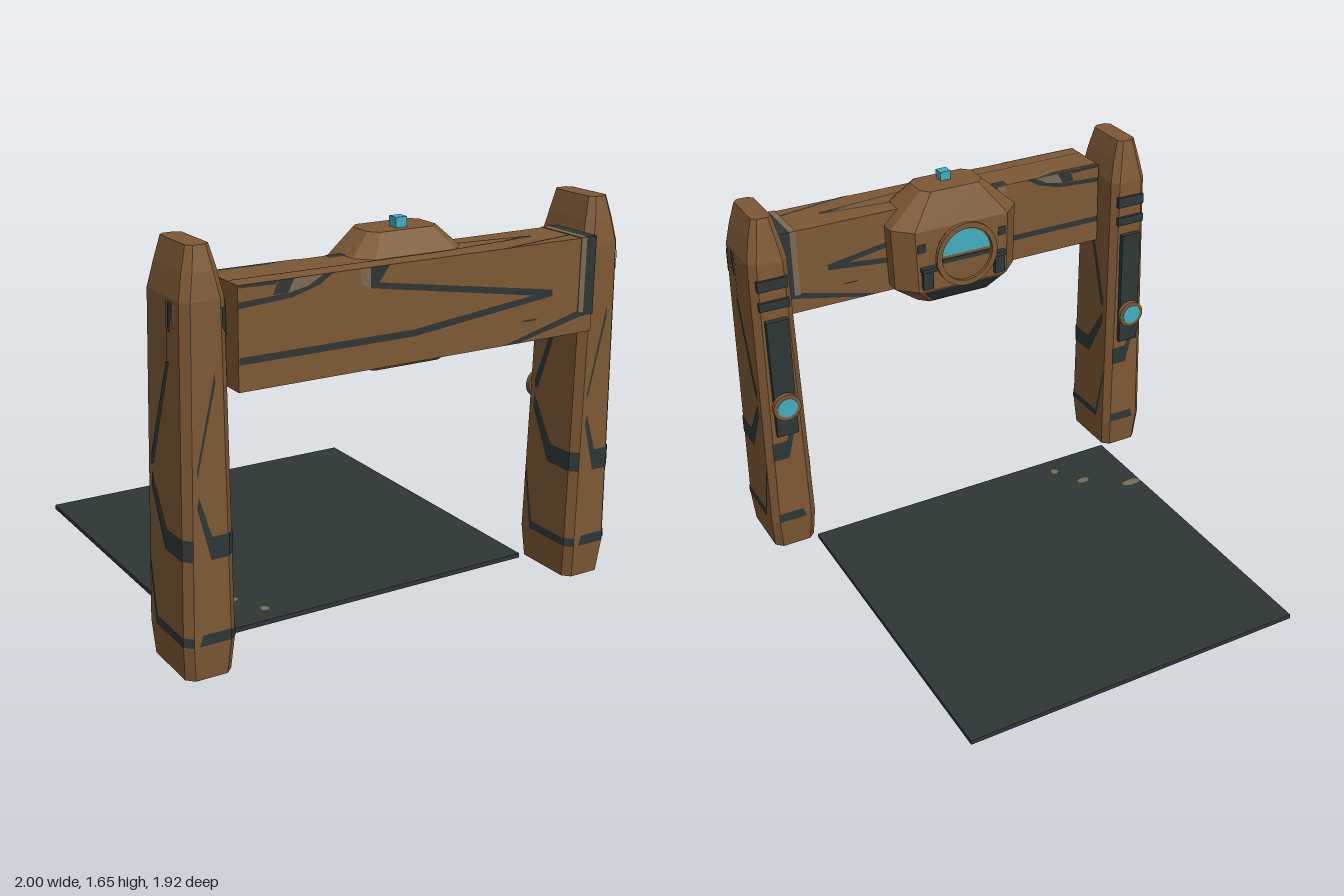
import * as THREE from 'three';

const material = (name, color, side = THREE.FrontSide) => {
  const m = new THREE.MeshStandardMaterial({ color, side });
  m.name = name;
  return m;
};

export function createModel() {
  const brown = material('brown panel', 0x7d5834);
  const dark = material('dark slate', 0x2e3736, THREE.DoubleSide);
  const tan = material('worn tan', 0x7a6a52, THREE.DoubleSide);
  const cyan = material('cyan light', 0x41aebf, THREE.DoubleSide);
  const model = new THREE.Group();

  const add = (parent, name, geometry, mat, x = 0, y = 0, z = 0) => {
    const mesh = new THREE.Mesh(geometry, mat);
    mesh.name = name;
    mesh.position.set(x, y, z);
    parent.add(mesh);
    return mesh;
  };
  const box = (parent, name, mat, x0, x1, y0, y1, z0, z1) =>
    add(parent, name, new THREE.BoxGeometry(x1 - x0, y1 - y0, z1 - z0), mat,
      (x0 + x1) / 2, (y0 + y1) / 2, (z0 + z1) / 2);

  // Cylinder whose axis runs along z
  const disc = (parent, name, mat, r, depth, x, y, z) =>
    add(parent, name, new THREE.CylinderGeometry(r, r, depth, 28), mat, x, y, z).rotateX(Math.PI / 2);

  // Flat outline whose corners are carried onto a face by a rule
  const mark = (parent, name, mat, pts, place) => {
    const g = new THREE.ShapeGeometry(new THREE.Shape(pts.map(p => new THREE.Vector2(...p))));
    const pos = g.attributes.position;
    for (let i = 0; i < pos.count; i++) pos.setXYZ(i, ...place(pos.getX(i), pos.getY(i)));
    g.computeVertexNormals();
    return add(parent, name, g, mat);
  };

  // Faceted block lofted through chamfered rectangles [y, halfWidth, zBack, zFront, chamfer]
  const loft = (rings) => {
    const loops = rings.map(([y, h, b, f, c]) => [
      [-h + c, y, f], [h - c, y, f], [h, y, f - c], [h, y, b + c],
      [h - c, y, b], [-h + c, y, b], [-h, y, b + c], [-h, y, f - c]]);
    const v = [];
    const tri = (...p) => p.forEach(q => v.push(...q));
    for (let k = 0; k + 1 < loops.length; k++) {
      const lo = loops[k], hi = loops[k + 1];
      for (let i = 0; i < 8; i++) {
        const j = (i + 1) % 8;
        tri(lo[i], lo[j], hi[j]);
        tri(lo[i], hi[j], hi[i]);
      }
    }
    const top = loops[loops.length - 1], bottom = loops[0];
    for (let i = 1; i < 7; i++) {
      tri(top[0], top[i], top[i + 1]);
      tri(bottom[0], bottom[i + 1], bottom[i]);
    }
    const g = new THREE.BufferGeometry();
    g.setAttribute('position', new THREE.Float32BufferAttribute(v, 3));
    g.computeVertexNormals();
    return g;
  };

  // Floor slab with worn spots
  box(model, 'floor', dark, -0.785, 0.785, 0, 0.02, -0.96, 0.6);
  for (const [x, z, rx, rz] of [[-0.735, 0.24, 0.05, 0.022], [-0.535, 0.37, 0.03, 0.018], [-0.45, 0.505, 0.018, 0.02]])
    add(model, 'floorSpot', new THREE.CircleGeometry(1, 16), tan, x, 0.022, z)
      .rotateX(-Math.PI / 2).scale.set(rx, rz, 1);

  // Pillars: tapered chamfered posts, the same stripes on each
  const pillarGeometry = loft([
    [0.02, 0.096, 0.59, 0.9, 0.03], [0.16, 0.106, 0.575, 0.915, 0.03],
    [1.46, 0.088, 0.588, 0.905, 0.03], [1.56, 0.068, 0.607, 0.888, 0.028], [1.65, 0.044, 0.625, 0.865, 0.02]]);
  const span = (a, b, y) => a + (b - a) * (y - 0.16) / 1.3;
  const width = y => span(0.106, 0.088, y);
  const frontZ = y => span(0.915, 0.905, y);
  const backZ = y => span(0.575, 0.588, y);
  const e = 0.0025;

  const faceMarks = [
    [[0.03, 1.21], [0.03, 1.16], [-0.048, 0.82], [-0.05, 0.85]],
    [[-0.044, 0.75], [0.005, 0.59], [0.074, 0.59], [0.074, 0.5], [0, 0.5], [-0.053, 0.71]],
    [[-0.04, 0.21], [0.075, 0.21], [0.075, 0.165], [-0.055, 0.165]]];
  const sideMarks = [
    [[0.8, 1.23], [0.775, 1.23], [0.638, 0.84], [0.64, 0.8], [0.66, 0.81]],
    [[0.64, 0.777], [0.763, 0.586], [0.885, 0.586], [0.885, 0.504], [0.748, 0.504], [0.638, 0.715]],
    [[0.885, 0.2], [0.67, 0.2], [0.612, 0.46], [0.612, 0.4], [0.66, 0.165], [0.885, 0.165]],
    [[0.825, 1.45], [0.79, 1.45], [0.79, 1.34], [0.81, 1.34]],
    [[0.782, 1.45], [0.778, 1.45], [0.778, 1.23], [0.782, 1.23]]];

  for (const s of [-1, 1]) {
    const pillar = new THREE.Group();
    pillar.name = s > 0 ? 'leftPillar' : 'rightPillar';
    pillar.position.x = s * 0.893;
    model.add(pillar);
    add(pillar, 'post', pillarGeometry, brown);
    for (const pts of faceMarks) {
      mark(pillar, 'frontStripe', dark, pts, (u, y) => [u, y, frontZ(y) + e]);
      mark(pillar, 'backStripe', dark, pts, (u, y) => [u, y, backZ(y) - e]);
    }
    for (const k of [-1, 1]) {
      for (const pts of sideMarks)
        mark(pillar, 'sideStripe', dark, pts, (z, y) => [k * (width(y) + e), y, z]);
      mark(pillar, 'sideWear', tan, [[0.855, 1.45], [0.827, 1.45], [0.827, 1.35], [0.845, 1.37]],
        (z, y) => [k * (width(y) + e), y, z]);
      // Bands carried round the chamfered corners
      for (const [y0, y1] of [[0.504, 0.588], [0.165, 0.203]])
        mark(pillar, 'cornerBand', dark, [[0, y0], [1, y0], [1, y1], [0, y1]],
          (u, y) => [k * (width(y) - 0.03 + u * 0.03 + e), y, frontZ(y) - u * 0.03 + e]);
    }
    mark(pillar, 'cornerPatch', dark, [[0, 1.36], [1, 1.32], [1, 1.43], [0, 1.43]],
      (u, y) => [width(y) - 0.03 + u * 0.03 + e, y, frontZ(y) - u * 0.03 + e]);

    // Panel, bars and round lamp on the back
    box(pillar, 'backPanel', dark, -0.05, 0.05, 0.63, 1.2, 0.56, 0.59);
    box(pillar, 'upperBar', dark, -0.068, 0.068, 1.34, 1.39, 0.576, 0.6);
    box(pillar, 'lowerBar', dark, -0.068, 0.068, 1.25, 1.29, 0.574, 0.6);
    disc(pillar, 'lampRim', brown, 0.064, 0.022, 0, 0.782, 0.548);
    disc(pillar, 'lamp', cyan, 0.046, 0.004, 0, 0.782, 0.536);
  }

  // Crossbeam with painted end band
  box(model, 'crossbeam', brown, -0.797, 0.795, 1.13, 1.515, 0.72, 0.96);
  box(model, 'endBand', dark, 0.749, 0.798, 1.2, 1.518, 0.717, 0.963);
  box(model, 'endBandTrim', tan, 0.722, 0.749, 1.215, 1.518, 0.717, 0.963);

  const beamMarks = [
    ['chevronTop', dark, [[-0.257, 1.515], [-0.176, 1.515], [-0.22, 1.455], [0.588, 1.326], [0.588, 1.3], [0.49, 1.315], [-0.257, 1.438]]],
    ['chevronBase', dark, [[0.588, 1.326], [0.588, 1.3], [-0.064, 1.23], [-0.795, 1.23], [-0.795, 1.257], [-0.064, 1.257], [0.49, 1.315]]],
    ['chevronTrim', tan, [[-0.3, 1.515], [-0.257, 1.515], [-0.257, 1.44], [-0.3, 1.46]]],
    ['lowerStripe', dark, [[0.358, 1.132], [0.43, 1.132], [0.794, 1.21], [0.794, 1.235], [0.749, 1.23]]],
    ['cornerStripe', dark, [[-0.795, 1.432], [-0.58, 1.447], [-0.47, 1.48], [-0.415, 1.515], [-0.455, 1.515], [-0.52, 1.48], [-0.6, 1.465], [-0.795, 1.455]]],
    ['cornerPatch', dark, [[-0.66, 1.465], [-0.6, 1.465], [-0.575, 1.515], [-0.64, 1.515]]],
    ['cornerWear', tan, [[-0.6, 1.465], [-0.52, 1.48], [-0.455, 1.515], [-0.575, 1.515]]],
    ['cornerEdge', dark, [[-0.795, 1.515], [-0.64, 1.515], [-0.65, 1.502], [-0.795, 1.505]]],
    ['dash', dark, [[0.45, 1.213], [0.515, 1.213], [0.515, 1.22], [0.45, 1.22]]]];
  for (const [name, mat, pts] of beamMarks)
    for (const z of [0.9625, 0.7175]) mark(model, name, mat, pts, (x, y) => [x, y, z]);

  const beamTopMarks = [
    [dark, [[-0.795, 0.885], [0.1, 0.885], [0.1, 0.892], [-0.795, 0.892]]],
    [dark, [[0.2, 0.79], [0.57, 0.83], [0.56, 0.85], [0.43, 0.845], [0.52, 0.832], [0.2, 0.8]]],
    [dark, [[0.1, 0.885], [0.56, 0.84], [0.56, 0.85], [0.1, 0.892]]],
    [dark, [[0.36, 0.958], [0.75, 0.885], [0.75, 0.897], [0.42, 0.958]]],
    [dark, [[-0.795, 0.722], [-0.47, 0.722], [-0.56, 0.745], [-0.795, 0.74]]],
    [tan, [[-0.47, 0.722], [-0.42, 0.722], [-0.56, 0.755], [-0.56, 0.745]]],
    [dark, [[-0.31, 0.722], [-0.22, 0.722], [-0.22, 0.765], [-0.31, 0.765]]]];
  for (const [mat, pts] of beamTopMarks)
    mark(model, 'beamTopStripe', mat, pts, (x, z) => [x, 1.5175, z]);

  // Central housing over the beam
  const head = new THREE.Group();
  head.name = 'housing';
  model.add(head);
  add(head, 'housingBody', loft([
    [1.075, 0.185, 0.63, 0.83, 0.04], [1.16, 0.3, 0.575, 0.9, 0.08],
    [1.45, 0.31, 0.575, 0.92, 0.08], [1.6, 0.152, 0.635, 0.81, 0.035]]), brown);
  box(head, 'beacon', cyan, -0.025, 0.025, 1.59, 1.64, 0.725, 0.772);
  mark(head, 'undersidePatch', dark, [[-0.13, 0.1], [0.13, 0.1], [0.19, 0.9], [-0.19, 0.9]],
    (x, t) => [x, 1.075 + t * 0.085 - e, 0.63 - t * 0.055 - e]);

  // Round visor with half-moon light on the back
  const ring = new THREE.Shape().absarc(0, 0, 0.15, 0, Math.PI * 2);
  ring.holes.push(new THREE.Path().absarc(0, 0, 0.125, 0, Math.PI * 2, true));
  add(head, 'visorRing', new THREE.ExtrudeGeometry(ring, { depth: 0.02, bevelEnabled: false, curveSegments: 20 }),
    brown, 0, 1.32, 0.525);
  disc(head, 'visorPlate', brown, 0.13, 0.04, 0, 1.32, 0.56);
  const moon = new THREE.Shape().absarc(0, 0, 0.118, 0.08, Math.PI - 0.08);
  add(head, 'visorLight', new THREE.ShapeGeometry(moon, 20), cyan, 0, 1.32, 0.537);
  box(head, 'visorLine', dark, -0.118, 0.118, 1.295, 1.315, 0.535, 0.545);

  // Bar and clamps behind the visor
  box(head, 'clampBar', dark, -0.21, 0.21, 1.26, 1.28, 0.548, 0.58);
  for (const s of [-1, 1]) {
    box(head, 'clamp', dark, s * 0.18 - 0.025, s * 0.18 + 0.025, 1.175, 1.26, 0.556, 0.58);
    box(head, 'upperSlot', dark, s * 0.2 - 0.02, s * 0.2 + 0.02, 1.35, 1.39, 0.572, 0.58);
  }
  return model;
}
